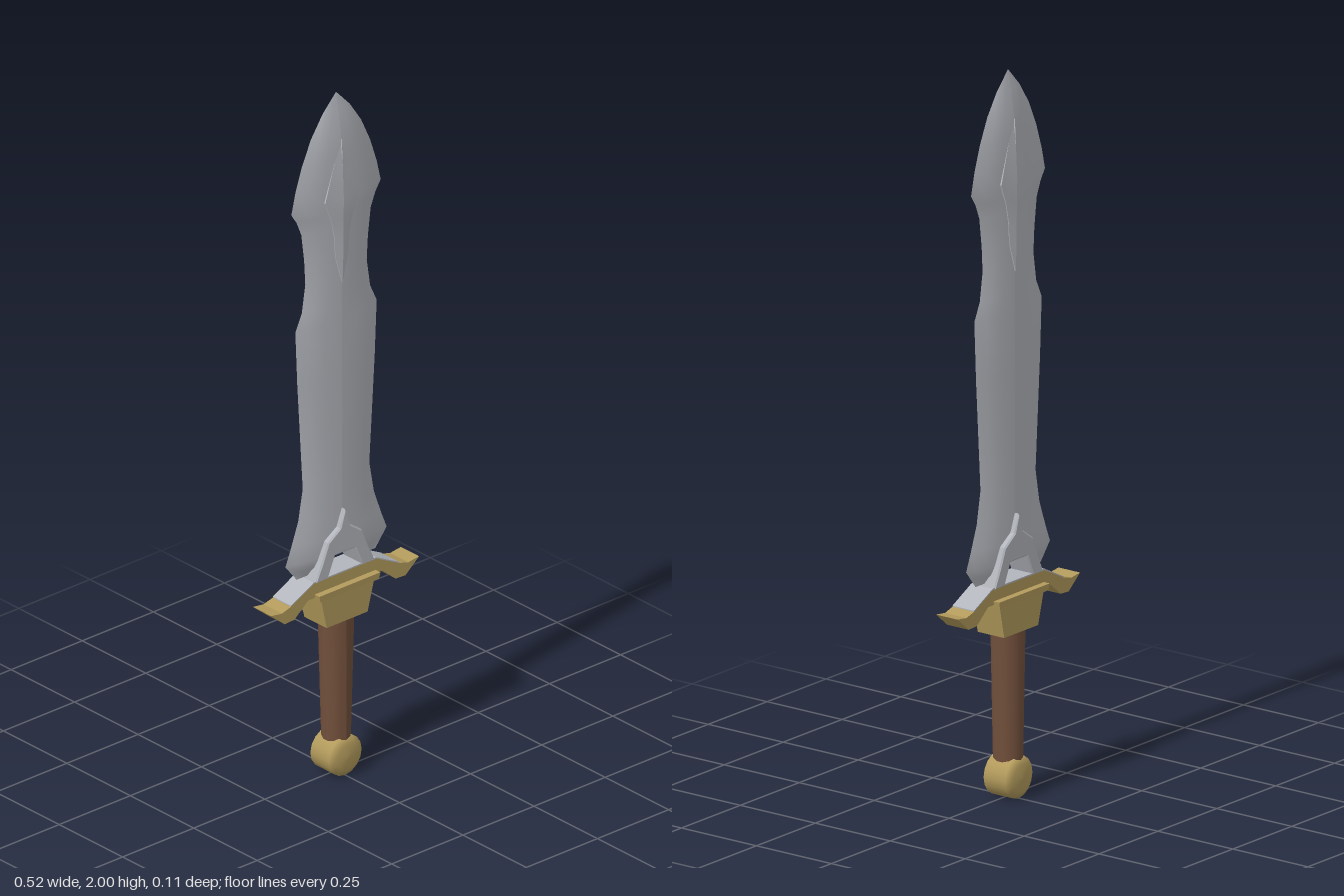
import * as THREE from 'three';
import { toCreasedNormals } from 'three/addons/utils/BufferGeometryUtils.js';

const mat = (name, color) => {
  const m = new THREE.MeshStandardMaterial({ color });
  m.name = name;
  return m;
};

export function createModel() {
  const steel = mat('steel', 0xb2b5bb);
  const gold = mat('gold', 0xb39b5c);
  const leather = mat('leather', 0x72503c);
  const sword = new THREE.Group();
  sword.name = 'sword';

  const add = (name, geometry, material, parent = sword) => {
    const mesh = new THREE.Mesh(geometry, material);
    mesh.name = name;
    parent.add(mesh);
    return mesh;
  };

  // Lofts both faces of one half; rows are [y, inner x, outer x, half thickness],
  // profile is [fraction of width, fraction of thickness] from centre to edge.
  const loftHalf = (rows, profile, side) => {
    const pos = [], index = [], n = profile.length;
    const thick = (f) => {
      for (let i = 1; i < n; i++) {
        const [a, za] = profile[i - 1], [b, zb] = profile[i];
        if (f < b && f >= a) return za + (zb - za) * (f - a) / (b - a);
      }
      return profile[n - 1][1];
    };
    for (const face of [1, -1]) {
      const start = pos.length / 3;
      for (const [y, xin, xout, t] of rows) {
        for (const [s, z] of profile) {
          const x = xin + (xout - xin) * s;
          pos.push(side * x, y, face * t * (xin > 0 ? thick(x / xout) : z));
        }
      }
      for (let r = 0; r < rows.length - 1; r++) {
        for (let k = 0; k < n - 1; k++) {
          const a = start + r * n + k, b = a + 1, c = a + n, d = c + 1;
          if (face * side > 0) index.push(a, c, b, b, c, d);
          else index.push(a, b, c, b, d, c);
        }
      }
    }
    const g = new THREE.BufferGeometry();
    g.setAttribute('position', new THREE.Float32BufferAttribute(pos, 3));
    g.setIndex(index);
    return toCreasedNormals(g, 0.5);
  };
  const loft = (name, rows, profile, material) => {
    const group = new THREE.Group();
    group.name = name;
    sword.add(group);
    add(name + 'Left', loftHalf(rows, profile, 1), material, group);
    add(name + 'Right', loftHalf(rows, profile, -1), material, group);
  };

  // Extrudes a right-half outline mirrored about x = 0
  const extrude = (half, halfDepth, bevel = 0) => {
    const mirrored = half.filter(([x]) => x > 0).reverse().map(([x, y]) => [-x, y]);
    const shape = new THREE.Shape([...half, ...mirrored].map(([x, y]) => new THREE.Vector2(x, y)));
    const g = new THREE.ExtrudeGeometry(shape, {
      depth: 2 * (halfDepth - bevel), bevelEnabled: bevel > 0,
      bevelThickness: bevel, bevelSize: bevel, bevelOffset: -bevel, bevelSegments: 1,
    });
    return g.translate(0, 0, bevel - halfDepth);
  };

  // Blade, leaf-shaped tip to flared shoulders with a notch at the foot
  loft('blade', [
    [2.0, 0, 0.001, 0], [1.95, 0, 0.048, 0.01], [1.89, 0, 0.088, 0.019],
    [1.82, 0, 0.12, 0.022], [1.75, 0, 0.143, 0.023], [1.69, 0, 0.157, 0.023],
    [1.66, 0, 0.138, 0.023], [1.62, 0, 0.122, 0.023], [1.54, 0, 0.112, 0.023],
    [1.47, 0, 0.108, 0.023], [1.39, 0, 0.12, 0.023], [1.34, 0, 0.143, 0.023],
    [1.18, 0, 0.136, 0.023], [0.87, 0, 0.117, 0.023], [0.78, 0, 0.133, 0.023],
    [0.71, 0, 0.158, 0.023], [0.66, 0.05, 0.178, 0.023],
    [0.635, 0.065, 0.158, 0.02], [0.61, 0.075, 0.138, 0],
  ], [[0, 1], [0.4, 0.9], [0.75, 0.5], [1, 0]], steel);

  // Raised spearhead inlay on both faces
  loft('bladeInlay', [
    [1.87, 0, 0.001, 0.023], [1.79, 0, 0.03, 0.027], [1.7, 0, 0.06, 0.031],
    [1.64, 0, 0.037, 0.03], [1.59, 0, 0.027, 0.029], [1.53, 0, 0.023, 0.029],
    [1.45, 0, 0.001, 0.026],
  ], [[0, 1], [1, 0.82], [1, 0]], steel);

  // Arched bracket joining blade and guard
  add('bladeBracket', extrude([
    [0, 0.785], [0.018, 0.735], [0.06, 0.705], [0.08, 0.655], [0.105, 0.6],
    [0.06, 0.6], [0.035, 0.66],
  ].reverse().map((p) => p), 0.038, 0.004), steel);

  // Crossguard with upturned ends
  add('guard', extrude([
    [0.1, 0.56], [0.13, 0.56], [0.178, 0.52], [0.212, 0.518], [0.26, 0.558],
    [0.222, 0.553], [0.19, 0.562], [0.11, 0.602],
  ], 0.036), gold);

  // Steel facing along the top of the guard
  add('guardFacing', extrude([
    [0.11, 0.602], [0.19, 0.562], [0.19, 0.565], [0.11, 0.606],
  ], 0.036), steel);

  // Tapered block under the guard, with a wider rim
  const taper = (w0, d0, w1, d1, y0, y1) => {
    const g = new THREE.BoxGeometry(2, y1 - y0, 2).translate(0, (y0 + y1) / 2, 0);
    const p = g.attributes.position;
    for (let i = 0; i < p.count; i++) {
      const low = p.getY(i) < (y0 + y1) / 2;
      p.setX(i, p.getX(i) * (low ? w0 : w1));
      p.setZ(i, p.getZ(i) * (low ? d0 : d1));
    }
    g.computeVertexNormals();
    return g;
  };
  add('guardBlock', taper(0.072, 0.044, 0.094, 0.046, 0.462, 0.555), gold);
  add('guardBlockRim', taper(0.103, 0.054, 0.107, 0.055, 0.552, 0.57), gold);

  // Oval grip, narrowing in width toward the pommel
  const grip = new THREE.CylinderGeometry(1, 1, 0.37, 14).translate(0, 0.285, 0);
  const gp = grip.attributes.position;
  for (let i = 0; i < gp.count; i++) {
    gp.setX(i, gp.getX(i) * (gp.getY(i) > 0.285 ? 0.053 : 0.037));
    gp.setZ(i, gp.getZ(i) * 0.042);
  }
  grip.computeVertexNormals();
  add('grip', grip, leather);

  // Round pommel with domed front and back
  const dome = [[0, -0.05], [0.038, -0.048], [0.058, -0.036], [0.058, 0.036], [0.038, 0.048], [0, 0.05]];
  const pommel = new THREE.LatheGeometry(dome.map(([r, z]) => new THREE.Vector2(r, z)), 16);
  add('pommel', pommel.rotateX(Math.PI / 2).translate(0, 0.06, 0), gold);

  return sword;
}
